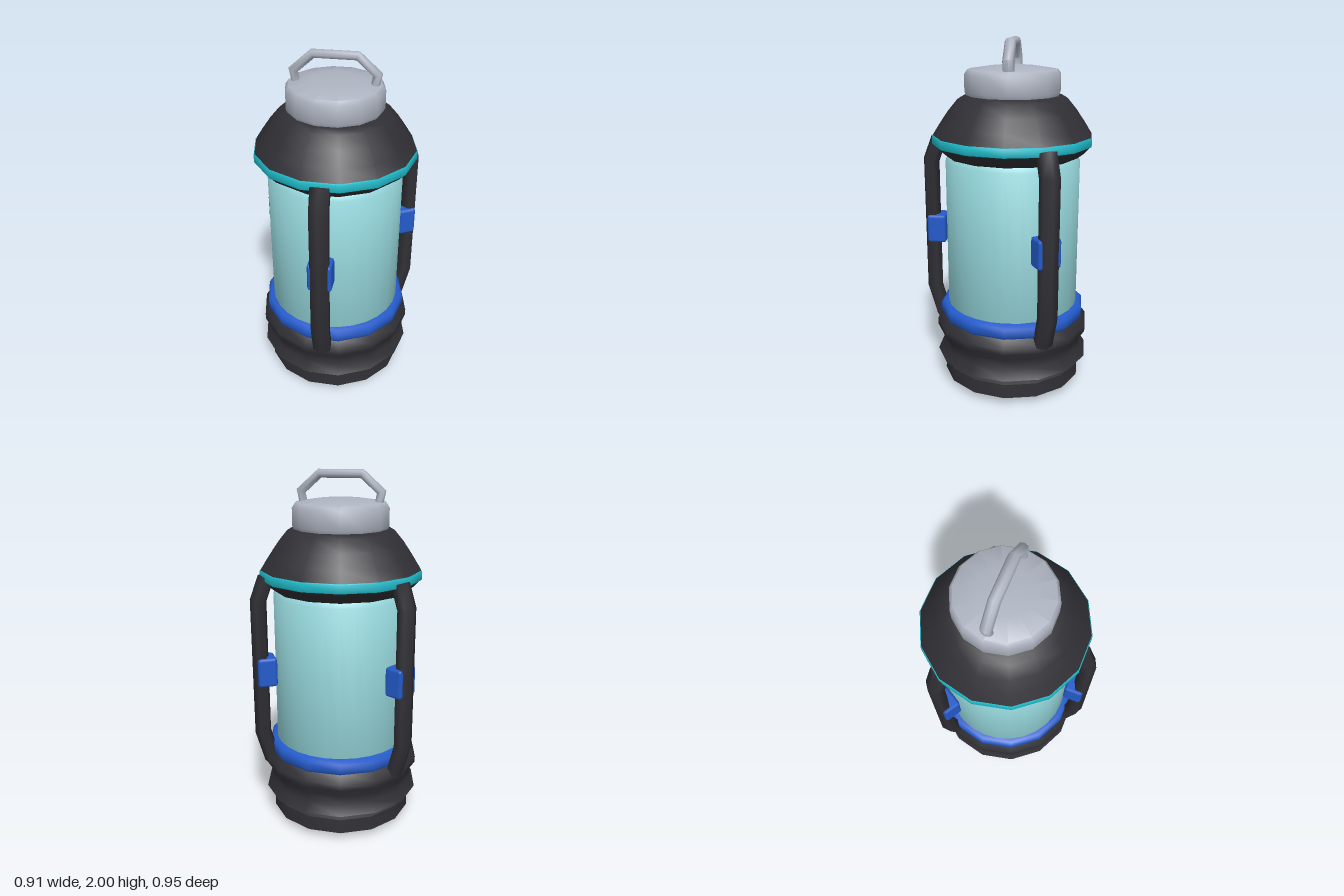
import * as THREE from 'three';
import { toCreasedNormals } from 'three/addons/utils/BufferGeometryUtils.js';
import { RoundedBoxGeometry } from 'three/addons/geometries/RoundedBoxGeometry.js';

const material = (name, color) => {
  const m = new THREE.MeshStandardMaterial({ color });
  m.name = name;
  return m;
};

// Turned part: profile of [radius, height] from bottom to top
function turned(profile, sides = 14) {
  const points = profile.map(([r, y]) => new THREE.Vector2(r, y));
  const geometry = new THREE.LatheGeometry(points, sides, Math.PI / 2);
  return toCreasedNormals(geometry, 0.85);
}

// Bar with mitred corners along a flat path; a and b are the half sizes
// of its section in the plane of the path and across it
function bentBar(path, sides, a, b) {
  const pts = path.map(([x, y]) => new THREE.Vector2(x, y));
  const dirs = pts.slice(1).map((p, i) => p.clone().sub(pts[i]).normalize());
  const position = [];
  const index = [];
  pts.forEach((p, i) => {
    const d0 = dirs[Math.max(i - 1, 0)];
    const d1 = dirs[Math.min(i, dirs.length - 1)];
    const d = d0.clone().add(d1).normalize();
    const mitre = a / d.dot(d1);
    for (let k = 0; k < sides; k++) {
      const t = (k / sides) * Math.PI * 2;
      const s = Math.cos(t) * mitre;
      position.push(p.x + d.y * s, p.y - d.x * s, Math.sin(t) * b);
    }
  });
  const last = (pts.length - 1) * sides;
  for (let i = 0; i < last; i += sides) {
    for (let k = 0; k < sides; k++) {
      const n = (k + 1) % sides;
      index.push(i + k, i + sides + k, i + n, i + sides + k, i + sides + n, i + n);
    }
  }
  for (let k = 1; k < sides - 1; k++) {
    index.push(0, k, k + 1, last, last + k + 1, last + k);
  }
  const geometry = new THREE.BufferGeometry();
  geometry.setAttribute('position', new THREE.Float32BufferAttribute(position, 3));
  geometry.setIndex(index);
  return toCreasedNormals(geometry, 1.15);
}

export function createModel() {
  const charcoal = material('charcoal', 0x2f2f35);
  const glass = material('pale aqua glass', 0x97d9de);
  const metal = material('grey metal', 0xadb3c0);
  const blue = material('blue', 0x245bcb);
  const teal = material('teal', 0x1fbccb);

  const model = new THREE.Group();
  model.name = 'lantern';
  const body = new THREE.Group();
  body.name = 'body';
  body.position.z = -0.0375;
  model.add(body);

  const add = (name, geometry, mat, parent = body) => {
    const mesh = new THREE.Mesh(geometry, mat);
    mesh.name = name;
    parent.add(mesh);
    return mesh;
  };

  // Ribbed base
  add('base', turned([
    [0, 0], [0.33, 0], [0.405, 0.045], [0.4, 0.125], [0.375, 0.137],
    [0.447, 0.175], [0.413, 0.23], [0.413, 0.285], [0.447, 0.335],
    [0.447, 0.37], [0.405, 0.418], [0, 0.418],
  ]), charcoal);
  add('lowerRing', turned([
    [0.36, 0.412], [0.41, 0.412], [0.422, 0.43], [0.422, 0.475],
    [0.405, 0.493], [0.36, 0.493],
  ]), blue);

  // Glass cylinder
  add('glass', turned([
    [0.36, 0.45], [0.378, 0.48], [0.378, 1.335], [0.36, 1.362], [0, 1.362],
  ], 28), glass);

  // Collar, band and shoulder
  add('collar', turned([
    [0.3, 1.36], [0.37, 1.36], [0.41, 1.39], [0.443, 1.428], [0.3, 1.428],
  ]), charcoal);
  add('band', turned([
    [0.4, 1.426], [0.447, 1.426], [0.45, 1.432], [0.45, 1.47], [0.447, 1.476], [0.4, 1.476],
  ]), teal);
  add('shoulder', turned([
    [0.4, 1.47], [0.445, 1.477], [0.405, 1.54], [0.357, 1.61], [0.305, 1.672],
    [0.27, 1.692], [0, 1.695],
  ]), charcoal);

  // Screw cap and carrying handle
  add('cap', turned([
    [0.24, 1.688], [0.258, 1.692], [0.266, 1.71], [0.266, 1.805],
    [0.25, 1.829], [0.13, 1.847], [0, 1.855],
  ]), metal);
  add('handle', bentBar([
    [-0.206, 1.815], [-0.221, 1.885], [-0.117, 1.977],
    [0.117, 1.977], [0.221, 1.885], [0.206, 1.815],
  ], 8, 0.023, 0.031), metal);

  // Three guard bars, each with a clamp
  const guard = bentBar([
    [0.417, 0.371], [0.467, 0.55], [0.467, 1.32], [0.421, 1.444],
  ], 6, 0.045, 0.058);
  const clamp = new RoundedBoxGeometry(0.108, 0.165, 0.135, 1, 0.016);
  const guards = { frontGuard: -90, leftGuard: 30, rightGuard: 150 };
  for (const [name, angle] of Object.entries(guards)) {
    const group = new THREE.Group();
    group.name = name;
    group.rotation.y = THREE.MathUtils.degToRad(angle);
    add('guardBar', guard, charcoal, group);
    add('clamp', clamp, blue, group).position.set(0.437, 0.918, 0);
    body.add(group);
  }
  return model;
}
